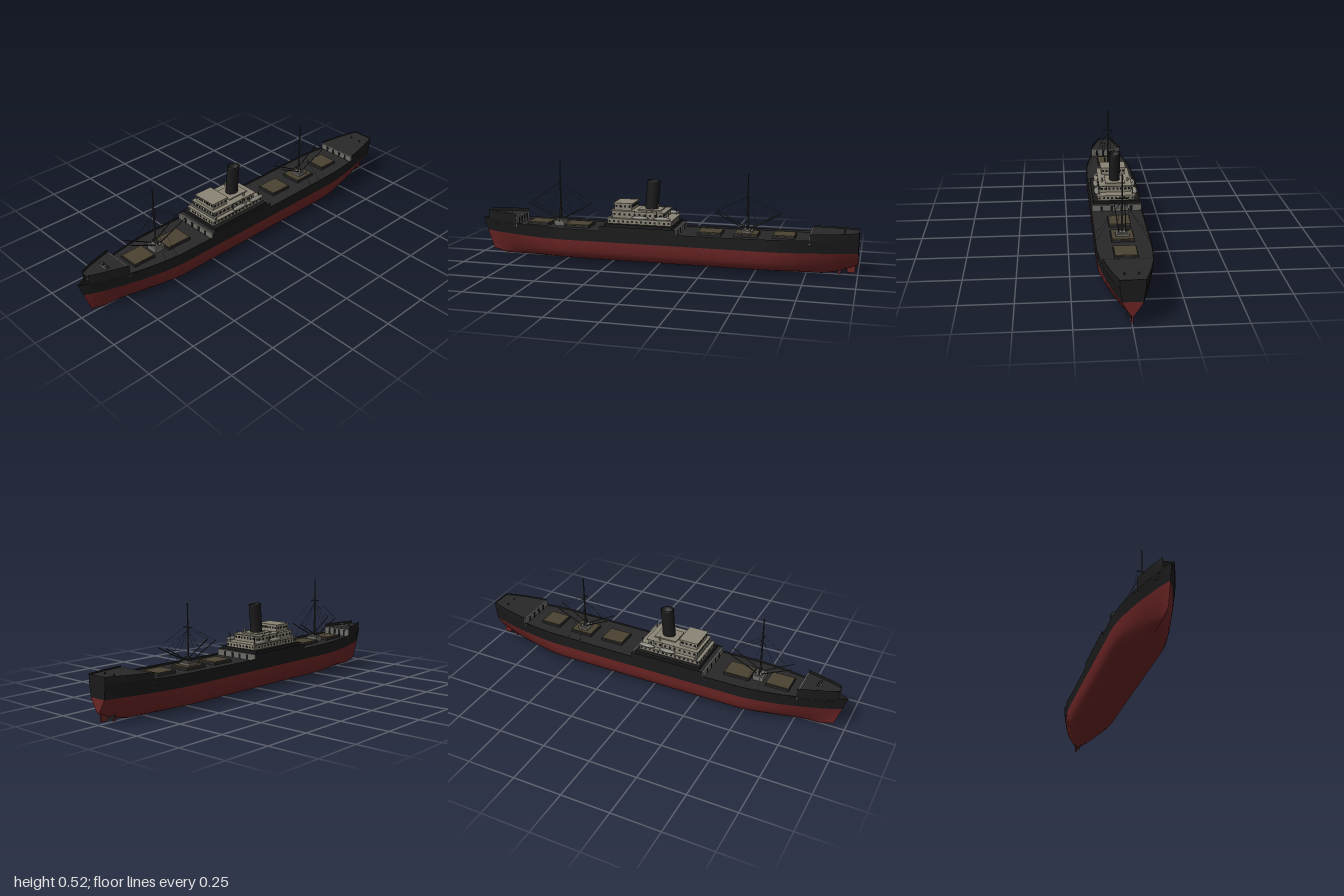
import * as THREE from 'three';
import { toCreasedNormals } from 'three/addons/utils/BufferGeometryUtils.js';

const mat = (name, color, side = THREE.FrontSide) => {
  const m = new THREE.MeshStandardMaterial({ color, side });
  m.name = name;
  return m;
};
const M = {
  red: mat('hull red', 0x6a2424, THREE.DoubleSide),
  black: mat('hull black', 0x1a1a1a, THREE.DoubleSide),
  deck: mat('deck charcoal', 0x282828, THREE.DoubleSide),
  cream: mat('house cream', 0x8a8474),
  grey: mat('bulkhead grey', 0x6c6a64),
  olive: mat('hatch olive', 0x4a4230),
  iron: mat('rigging iron', 0x2e2e2e),
  glass: mat('window dark', 0x14171a),
  boat: mat('boat grey', 0x85827a),
};

const { lerp, smoothstep, clamp } = THREE.MathUtils;
// Linear interpolation through [position, value] pairs
function table(pairs, x) {
  for (let i = 1; i < pairs.length; i++) {
    const [a, va] = pairs[i - 1], [b, vb] = pairs[i];
    if (x <= b) return lerp(va, vb, clamp((x - a) / (b - a), 0, 1));
  }
  return pairs[pairs.length - 1][1];
}
const BEAM = [[-1, .055], [-.95, .072], [-.9, .086], [-.8, .107], [-.7, .12], [-.6, .128], [.5, .128],
  [.6, .119], [.7, .102], [.8, .078], [.9, .047], [.95, .026], [1, 0]];
const beam = z => table(BEAM, z);
const sheer = z => .178 + (z > 0 ? .012 : .014) * z * z;
const keel = z => z < -.82 ? .05 * ((-.82 - z) / .18) ** 1.5 : .02 * smoothstep(z, .92, 1);

// Girth points: [midship width, end width, midship height]
const LOWER = [[0, 0, 0], [.35, .07, .006], [.68, .16, .018], [.87, .3, .037], [.96, .48, .062], [.995, .68, .092], [1, .82, .12]];
const UPPER = [[1, .82, 0], [1, .91, .5], [1, 1, 1]];
const fullness = z => z > 0 ? 1 - smoothstep(z, .45, 1) : 1 - smoothstep(-z, .5, 1.05);
function lowerPoint(z, [m, e, h]) {
  const k = keel(z);
  return [beam(z) * lerp(e, m, fullness(z)), k + (.12 - k) * h / .12];
}
const upperPoint = (z, [m, e, h]) => [beam(z) * lerp(e, m, fullness(z)), lerp(.12, sheer(z), h)];
const rake = (z, y) => z - .065 * smoothstep(z, .7, 1) * (1 - y / .19);

// Surface through rows of points
function sheet(rows, crease = .6) {
  const pos = [], idx = [], n = rows[0].length;
  rows.forEach(r => r.forEach(p => pos.push(...p)));
  for (let i = 0; i < rows.length - 1; i++) for (let j = 0; j < n - 1; j++) {
    const a = i * n + j, b = a + n;
    idx.push(a, a + 1, b, a + 1, b + 1, b);
  }
  const g = new THREE.BufferGeometry();
  g.setAttribute('position', new THREE.Float32BufferAttribute(pos, 3));
  g.setIndex(idx);
  return toCreasedNormals(g, crease);
}
const stations = (a, b, n) => Array.from({ length: n + 1 }, (_, i) => lerp(a, b, i / n));

export function createModel() {
  const root = new THREE.Group();
  root.name = 'cargoSteamer';
  const add = (name, geo, m, x = 0, y = 0, z = 0, parent = root) => {
    const o = new THREE.Mesh(geo, m);
    o.name = name;
    o.position.set(x, y, z);
    parent.add(o);
    return o;
  };
  // Box from its bottom, top, back and front
  const box = (name, m, halfW, y0, y1, z0, z1, x = 0) =>
    add(name, new THREE.BoxGeometry(halfW * 2, y1 - y0, z1 - z0), m, x, (y0 + y1) / 2, (z0 + z1) / 2);
  const rod = (name, m, a, b, r0, r1 = r0, sides = 6) => {
    const p = new THREE.Vector3(...a), q = new THREE.Vector3(...b), d = q.clone().sub(p);
    const o = add(name, new THREE.CylinderGeometry(r1, r0, d.length(), sides), m);
    o.position.copy(p).add(q).multiplyScalar(.5);
    o.quaternion.setFromUnitVectors(new THREE.Vector3(0, 1, 0), d.normalize());
    return o;
  };

  // Hull shell and transom
  const zs = stations(-1, 1, 80);
  const place = z => ([x, y]) => [x, y, rake(z, y)];
  for (const s of [-1, 1]) {
    const side = (pts, fn) => zs.map(z => pts.map(p => place(z)(fn(z, p))).map(([x, y, w]) => [s * x, y, w]));
    add('hullBottom', sheet(side(LOWER, lowerPoint)), M.red);
    add('hullTopside', sheet(side(UPPER, upperPoint)), M.black);
  }
  const cap = pts => sheet(pts.map(([x, y]) => [[-x, y, -1], [x, y, -1]]));
  add('transomBottom', cap(LOWER.map(p => lowerPoint(-1, p))), M.red);
  add('transomTop', cap([...UPPER.map(p => upperPoint(-1, p)), [beam(-1), .222]]), M.black);

  // Decks and the raised sides of poop, bridge and forecastle
  const deck = (name, a, b, y) => add(name, sheet(stations(a, b, 24).map(z =>
    [[-beam(z) * .99, y(z), z], [beam(z) * .99, y(z), z]])), M.deck);
  const raise = (name, a, b, top) => {
    for (const s of [-1, 1]) add(name, sheet(stations(a, b, 16).map(z =>
      [[s * beam(z), sheer(z) - .001, z], [s * beam(z), top(z), z]])), M.black);
  };
  deck('mainDeck', -.99, .94, z => sheer(z) - .01);
  const poopTop = z => .216 + .007 * (-z - .77) / .23;
  raise('poopSide', -1, -.77, poopTop);
  deck('poopDeck', -1, -.77, z => poopTop(z) - .008);
  raise('bridgeSide', -.105, .295, () => .203);
  deck('bridgeDeck', -.105, .295, () => .199);
  const fcTop = z => .232 + .006 * (z - .77) / .18;
  raise('forecastleSide', .77, .955, fcTop);
  deck('forecastleDeck', .77, .955, z => fcTop(z) - .016);

  // Bulkheads with doors facing the well decks
  const bulkhead = (z, y1, dir) => {
    const w = beam(z) * .98;
    box('bulkhead', M.grey, w, .165, y1, z - .003, z + .003);
    for (const x of [-.6, -.2, .2, .6]) box('bulkheadDoor', M.glass, .006, .17, y1 - .006, z + dir * .004 - .001, z + dir * .004 + .001, x * w);
  };
  bulkhead(-.768, .208, 1);
  bulkhead(-.105, .2, -1);
  bulkhead(.295, .2, 1);
  bulkhead(.77, .217, -1);

  // Superstructure tiers with windows all round
  function house(name, halfW, y0, y1, z0, z1, nx, nz, wy, size) {
    box(name, M.cream, halfW, y0, y1, z0, z1);
    for (let i = 0; i < nx; i++) for (const z of [z0, z1])
      box('window', M.glass, size, wy - size, wy + size, z - .001, z + .001, halfW * (-1 + (2 * i + 1) / nx));
    for (let i = 0; i < nz; i++) for (const s of [-1, 1]) {
      const z = lerp(z0, z1, (i + .5) / nz);
      box('window', M.glass, .001, wy - size, wy + size, z - size, z + size, s * halfW);
    }
  }
  box('bridgeCoaming', M.black, .118, .199, .214, -.085, .27);
  house('lowerHouse', .094, .2, .238, -.075, .26, 9, 14, .226, .005);
  box('boatDeck', M.cream, .1, .236, .241, -.08, .262);
  house('middleHouse', .08, .24, .274, -.03, .24, 8, 10, .26, .0055);
  box('wingWall', M.grey, .095, .24, .253, .236, .246);
  box('upperDeck', M.cream, .084, .273, .278, -.04, .246);
  house('wheelhouse', .062, .277, .31, .14, .232, 7, 4, .298, .0055);
  box('wheelhouseRoof', M.cream, .066, .309, .315, .135, .237);
  box('engineCasing', M.cream, .05, .277, .284, -.01, .11);

  // Raked oval funnel with an open top
  const funnel = new THREE.Group();
  funnel.name = 'funnel';
  funnel.position.set(0, .275, .05);
  funnel.rotation.x = -.085;
  funnel.scale.set(.028, 1, .034);
  root.add(funnel);
  add('funnelBody', new THREE.LatheGeometry([[1, 0], [1, .148], [1.04, .149], [1.04, .155], [.92, .155], [.92, .135], [0, .135]]
    .map(p => new THREE.Vector2(...p)), 24), M.black, 0, 0, 0, funnel);

  // Lifeboats, davits and ventilators
  for (const s of [-1, 1]) {
    for (const z of [.085, -.03]) {
      const hull = add('lifeboat', new THREE.SphereGeometry(1, 16, 10), M.boat, s * .097, .25, z);
      hull.scale.set(.013, .01, .046);
      for (const dz of [-.032, .032]) {
        rod('davit', M.iron, [s * .083, .24, z + dz], [s * .083, .274, z + dz], .0018);
        rod('davitArm', M.iron, [s * .078, .272, z + dz], [s * .092, .284, z + dz], .0018);
      }
    }
    rod('ventilator', M.cream, [s * .066, .277, .03], [s * .066, .298, .03], .005, .005, 10);
    // Anchors on the bow
    rod('anchorShank', M.iron, [s * .04, .19, .914], [s * .036, .158, .91], .003);
    rod('anchorFluke', M.iron, [s * .031, .16, .92], [s * .043, .16, .897], .003);
    rod('windlassDrum', M.iron, [s * .006, .229, .85], [s * .026, .229, .85], .008, .008, 10);
    rod('bollard', M.iron, [s * .03, .2, -.93], [s * .03, .222, -.93], .004, .004, 8);
  }
  box('windlassBed', M.grey, .026, .215, .224, .838, .862);

  // Cargo hatches
  for (const [a, b] of [[.6, .715], [.38, .51], [-.32, -.205], [-.505, -.39], [-.69, -.585]]) {
    const y = sheer((a + b) / 2) - .012;
    box('hatchCoaming', M.deck, .054, y, y + .014, a - .003, b + .003);
    box('hatchCover', M.olive, .051, y + .013, y + .018, a, b);
  }

  // Masts with crosstrees, booms and wires
  for (const [z, top] of [[.55, .516], [-.45, .482]]) {
    const cross = top - .115;
    box('mastHouse', M.grey, .032, .168, .198, z - .027, z + .027);
    box('mastTable', M.grey, .024, .198, .204, z - .018, z + .018);
    rod('mast', M.iron, [0, .17, z], [0, top, z], .0055, .0028, 10);
    rod('crosstree', M.iron, [-.026, cross, z], [.026, cross, z], .003);
    for (const s of [-1, 1]) {
      for (const d of [-1, 1]) {
        const tip = [s * .027, .286, z + d * .163];
        rod('boom', M.iron, [s * .017, .208, z + d * .014], tip, .0032, .0022);
        rod('toppingWire', M.iron, [s * .02, cross, z], tip, .0006, .0006, 4);
        rod('shroud', M.iron, [0, cross - .01, z], [s * beam(z) * .93, .18, z + d * .035], .0007, .0007, 4);
      }
      rod('kingPost', M.iron, [s * .017, .2, z], [s * .017, .222, z], .004);
    }
  }

  // Rudder, sternpost and propeller
  box('rudder', M.red, .004, .012, .1, -.987, -.948);
  box('sternpost', M.red, .004, .002, .06, -.918, -.905);
  rod('propellerHub', M.iron, [0, .034, -.942], [0, .034, -.905], .005, .005, 10);
  for (let i = 0; i < 4; i++) {
    const blade = add('propellerBlade', new THREE.BoxGeometry(.009, .048, .002), M.iron, 0, .034, -.932);
    blade.rotation.set(0, .4, i * Math.PI / 4);
  }
  return root;
}
